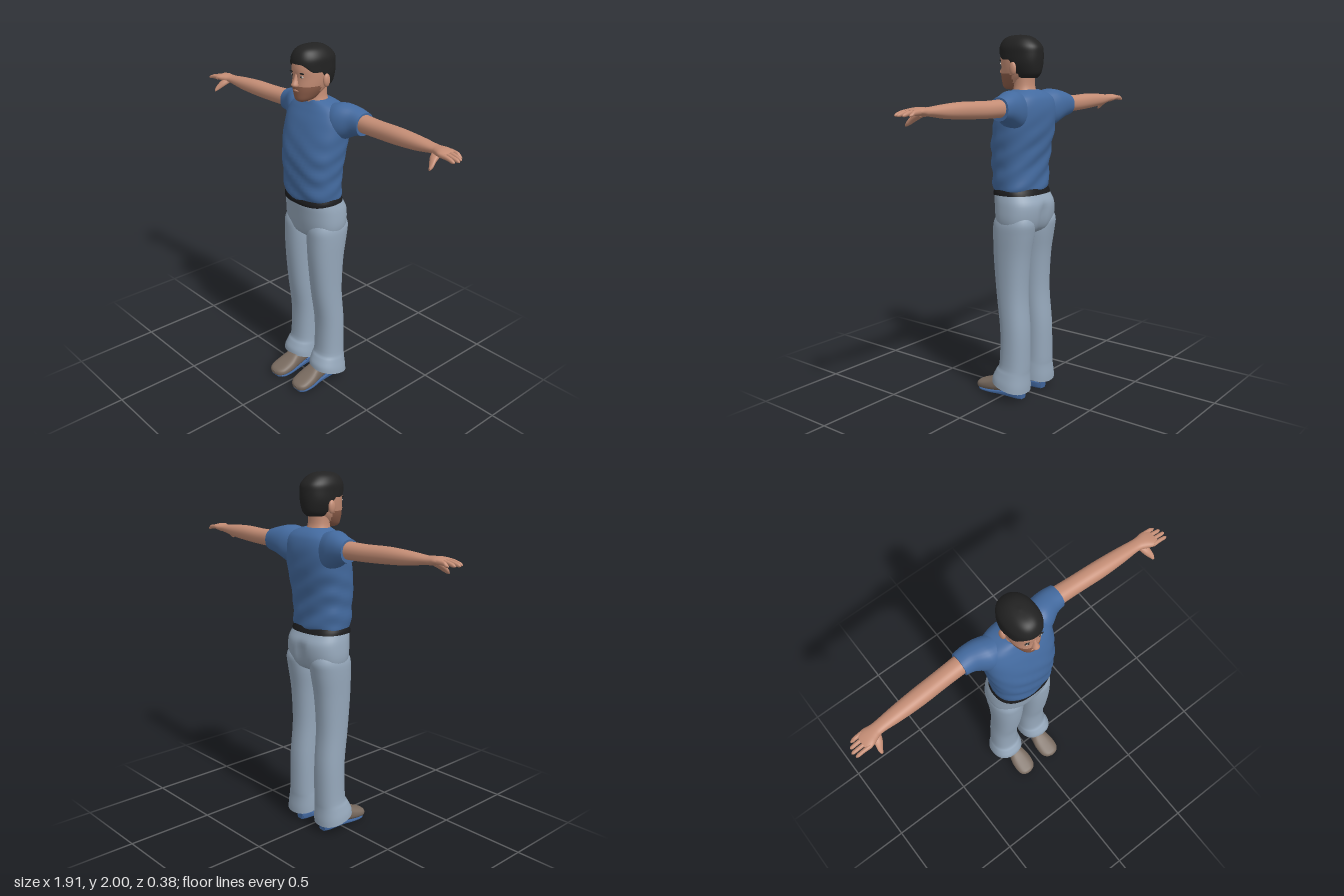
import * as THREE from 'three';

const mat = (name, color, side = THREE.FrontSide) => {
  const m = new THREE.MeshStandardMaterial({ color, side });
  m.name = name;
  return m;
};
const { smoothstep } = THREE.MathUtils;

// Loft axes: ring coordinates (u, v) and the direction t the rows run along
const AXES = { x: ['z', 'y', 'x'], y: ['x', 'z', 'y'], z: ['y', 'x', 'z'] };

// Smooth skin through rows of [t, uMin, uMax, vMin, vMax]; power squares the section,
// rule moves each point, pick chooses a material index from a face position
function loft(rows, { axis = 'y', n = 32, steps = 4, power = 2.2, caps = true, rule, pick = () => 0 } = {}) {
  const pos = [], groups = [[], []], [U, V, T] = AXES[axis];
  const at = i => rows[Math.max(0, Math.min(rows.length - 1, i))];
  const rings = (rows.length - 1) * steps + 1;
  const bend = (a, b, c, d, f) => b + 0.5 * f * (c - a + f * (2 * a - 5 * b + 4 * c - d + f * (3 * (b - c) + d - a)));
  const round = w => Math.sign(w) * Math.abs(w) ** (2 / power);
  const add = p => pos.push(p.x, p.y, p.z) / 3 - 1;
  const point = i => new THREE.Vector3(pos[i * 3], pos[i * 3 + 1], pos[i * 3 + 2]);
  for (let i = 0; i < rings; i++) {
    const k = Math.floor(i / steps), f = i / steps - k;
    const r = rows[0].map((_, c) => bend(at(k - 1)[c], at(k)[c], at(k + 1)[c], at(k + 2)[c], f));
    for (let j = 0; j < n; j++) {
      const a = j / n * Math.PI * 2, p = new THREE.Vector3();
      p[U] = (r[1] + r[2]) / 2 + (r[2] - r[1]) / 2 * round(Math.cos(a));
      p[V] = (r[3] + r[4]) / 2 + (r[4] - r[3]) / 2 * round(Math.sin(a));
      p[T] = r[0];
      if (rule) rule(p);
      add(p);
    }
  }
  for (let i = 0; i < rings - 1; i++) for (let j = 0; j < n; j++) {
    const a = i * n + j, b = i * n + (j + 1) % n, c = a + n, d = b + n;
    const mid = point(a).add(point(d)).multiplyScalar(0.5);
    groups[pick(mid)].push(a, c, b, b, c, d);
  }
  if (caps) for (const [start, top] of [[0, false], [(rings - 1) * n, true]]) {
    const mid = new THREE.Vector3(), edge = [];
    for (let j = 0; j < n; j++) {
      mid.addScaledVector(point(start + j), 1 / n);
      edge.push(add(point(start + j)));
    }
    const m = add(mid);
    edge.forEach((e, j) => {
      const q = edge[(j + 1) % n];
      groups[pick(mid)].push(m, top ? q : e, top ? e : q);
    });
  }
  const g = new THREE.BufferGeometry();
  g.setAttribute('position', new THREE.Float32BufferAttribute(pos, 3));
  g.setIndex([...groups[0], ...groups[1]]);
  g.addGroup(0, groups[0].length, 0);
  if (groups[1].length) g.addGroup(groups[0].length, groups[1].length, 1);
  g.computeVertexNormals();
  return g;
}

// Copy across x = 0 with the winding kept outward
function mirrored(geo) {
  const g = geo.clone().scale(-1, 1, 1), ix = g.index.array;
  for (let i = 0; i < ix.length; i += 3) [ix[i + 1], ix[i + 2]] = [ix[i + 2], ix[i + 1]];
  g.computeVertexNormals();
  return g;
}

const blob = (x, y, z, rx, ry, rz) => new THREE.SphereGeometry(1, 20, 14).scale(rx, ry, rz).translate(x, y, z);

export function createModel() {
  const model = new THREE.Group();
  model.name = 'standingMan';
  const skin = mat('skin', 0xc48d75), beard = mat('stubble', 0x8f5f4b), hair = mat('hair', 0x222222);
  const shirt = mat('shirt blue', 0x436a9f), pants = mat('trouser grey', 0x95a7ba, THREE.DoubleSide);
  const belt = mat('belt black', 0x1c1c1e), shoe = mat('shoe brown', 0x786a5f), sole = mat('sole blue', 0x3f649a);
  const eyeWhite = mat('eye white', 0xc9c2ba);
  const add = (name, geo, material) => {
    const m = new THREE.Mesh(geo, material);
    m.name = name;
    model.add(m);
  };
  const pair = (name, geo, material) => {
    add('left' + name, geo, material);
    add('right' + name, mirrored(geo), material);
  };

  // Shirt body with gentle folds, stronger toward the waist
  const folds = p => {
    const s = 0.004 * smoothstep(1.66 - p.y, 0, 0.3);
    p.z += s * Math.sin(p.y * 55 + p.x * 32) * Math.sign(p.z + 0.04);
    p.x += s * 0.7 * Math.sin(p.y * 62 + p.z * 20) * Math.sign(p.x);
  };
  add('shirtBody', loft([
    [1.172, -0.162, 0.162, -0.15, 0.088], [1.2, -0.172, 0.172, -0.155, 0.095],
    [1.3, -0.177, 0.177, -0.155, 0.1], [1.4, -0.188, 0.188, -0.165, 0.1],
    [1.5, -0.198, 0.198, -0.18, 0.085], [1.6, -0.2, 0.2, -0.186, 0.055],
    [1.66, -0.182, 0.182, -0.176, 0.028], [1.692, -0.14, 0.14, -0.155, 0.012],
    [1.715, -0.075, 0.075, -0.122, 0.002],
  ], { n: 48, steps: 6, power: 2.4, rule: folds }), shirt);
  pair('Sleeve', loft([
    [0.1, -0.16, 0, 1.5, 1.7], [0.16, -0.175, 0, 1.51, 1.714], [0.2, -0.18, -0.015, 1.53, 1.712],
    [0.25, -0.18, -0.045, 1.555, 1.7], [0.3, -0.176, -0.055, 1.566, 1.685],
  ], { axis: 'x' }), shirt);

  // Arms and hands
  pair('Arm', loft([
    [0.27, -0.165, -0.065, 1.583, 1.676], [0.4, -0.156, -0.062, 1.584, 1.672],
    [0.55, -0.146, -0.053, 1.59, 1.675], [0.68, -0.135, -0.053, 1.6, 1.669],
    [0.78, -0.123, -0.056, 1.616, 1.66], [0.815, -0.122, -0.045, 1.617, 1.661],
    [0.845, -0.125, -0.03, 1.622, 1.662], [0.87, -0.122, -0.025, 1.626, 1.658],
    [0.888, -0.118, -0.03, 1.631, 1.652],
  ], { axis: 'x' }), skin);
  [[-0.111, 0.927], [-0.086, 0.946], [-0.061, 0.954], [-0.036, 0.946]].forEach(([z, tip], i) =>
    pair('Finger' + (i + 1), loft([
      [0.86, z - 0.012, z + 0.012, 1.63, 1.655], [0.9, z - 0.01, z + 0.01, 1.628, 1.65],
      [tip - 0.012, z - 0.009, z + 0.009, 1.622, 1.64], [tip, z - 0.003, z + 0.003, 1.625, 1.631],
    ], { axis: 'x', n: 12 }), skin));
  pair('Thumb', loft([
    [-0.075, 1.615, 1.648, 0.785, 0.84], [-0.035, 1.592, 1.626, 0.802, 0.844],
    [-0.01, 1.574, 1.6, 0.822, 0.848], [0.005, 1.569, 1.58, 0.833, 0.843],
  ], { axis: 'z', n: 14 }), skin);

  // Trousers: hips with a seat crease, and flared legs whose hems drop at the back
  add('trouserHips', loft([
    [0.935, -0.09, 0.09, -0.12, 0.02], [0.965, -0.165, 0.165, -0.162, 0.055],
    [1.02, -0.187, 0.187, -0.184, 0.069], [1.1, -0.183, 0.183, -0.19, 0.08],
    [1.15, -0.173, 0.173, -0.168, 0.086], [1.185, -0.162, 0.162, -0.15, 0.085],
  ], {
    n: 48, power: 2.4,
    rule: p => { if (p.z < -0.08) p.z += 0.018 * Math.exp(-((p.x / 0.025) ** 2)) * smoothstep(1.14 - p.y, 0, 0.08); },
  }), pants);
  pair('TrouserLeg', loft([
    [0.075, 0.013, 0.216, -0.155, 0.055], [0.11, 0.014, 0.212, -0.155, 0.051],
    [0.16, 0.018, 0.2, -0.151, 0.032], [0.21, 0.022, 0.19, -0.152, 0.014],
    [0.4, 0.022, 0.185, -0.15, 0.012], [0.6, 0.018, 0.181, -0.135, 0.04],
    [0.8, 0.009, 0.184, -0.145, 0.06], [0.94, 0.001, 0.188, -0.168, 0.065],
    [1.01, 0.012, 0.184, -0.176, 0.06], [1.07, 0.04, 0.16, -0.15, 0.03],
  ], {
    caps: false, power: 2.3,
    rule: p => { p.y += 0.25 * (p.z + 0.05) * (1 - smoothstep(p.y, 0.075, 0.25)); },
  }), pants);
  add('belt', loft([
    [1.157, -0.174, 0.174, -0.165, 0.091], [1.172, -0.172, 0.172, -0.16, 0.093], [1.19, -0.166, 0.166, -0.153, 0.09],
  ], { n: 48, power: 2.4, rule: p => { p.y -= 0.008 * smoothstep(p.z, 0, 0.08); } }), belt);

  // Shoes, thin soles and heels
  pair('Shoe', loft([
    [-0.118, 0.035, 0.08, 0.078, 0.115], [-0.108, 0.028, 0.1, 0.064, 0.128], [-0.05, 0.025, 0.12, 0.057, 0.133],
    [0.03, 0.012, 0.115, 0.045, 0.142], [0.09, 0.008, 0.086, 0.034, 0.156],
    [0.15, 0.006, 0.062, 0.038, 0.156], [0.18, 0.009, 0.05, 0.058, 0.14], [0.192, 0.02, 0.038, 0.085, 0.115],
  ], { axis: 'z', power: 2.5 }), shoe);
  pair('Sole', loft([
    [-0.115, 0, 0.03, 0.072, 0.12], [-0.06, 0, 0.03, 0.06, 0.131], [0.02, 0, 0.022, 0.052, 0.136],
    [0.09, 0, 0.014, 0.042, 0.149], [0.15, 0, 0.012, 0.045, 0.148], [0.18, 0.002, 0.011, 0.07, 0.128],
  ], { axis: 'z', power: 5 }), sole);
  pair('Heel', loft([
    [-0.118, 0, 0.042, 0.074, 0.119], [-0.09, 0, 0.042, 0.062, 0.131], [-0.04, 0, 0.036, 0.06, 0.133],
  ], { axis: 'z', power: 5 }), sole);

  // Neck, head with a stubbled jaw, nose and ears
  add('neck', loft([
    [1.66, -0.085, 0.085, -0.135, 0.02], [1.7, -0.069, 0.069, -0.115, 0.008],
    [1.74, -0.06, 0.06, -0.103, 0], [1.81, -0.06, 0.06, -0.105, 0],
  ]), skin);
  add('head', loft([
    [1.714, -0.022, 0.022, 0.01, 0.066], [1.726, -0.043, 0.043, -0.03, 0.08],
    [1.755, -0.062, 0.062, -0.075, 0.085], [1.79, -0.076, 0.076, -0.105, 0.087],
    [1.84, -0.085, 0.085, -0.13, 0.084], [1.89, -0.086, 0.086, -0.14, 0.088],
    [1.94, -0.08, 0.08, -0.13, 0.076], [1.975, -0.055, 0.055, -0.09, 0.04],
  ], { n: 48, steps: 5, pick: p => (p.y < 1.798 - 0.1 * Math.max(0, 0.03 - p.z) && p.z > -0.02 ? 1 : 0) }), [skin, beard]);
  add('nose', loft([
    [1.795, -0.014, 0.014, 0.07, 0.096], [1.805, -0.019, 0.019, 0.07, 0.112],
    [1.832, -0.011, 0.011, 0.065, 0.099], [1.865, -0.008, 0.008, 0.06, 0.086],
  ], { n: 16 }), skin);
  pair('Ear', blob(0.091, 1.825, -0.042, 0.014, 0.035, 0.021), skin);
  add('mouth', blob(0, 1.775, 0.086, 0.022, 0.005, 0.004), skin);

  // Eyes and brows
  pair('Eye', blob(0.034, 1.85, 0.077, 0.014, 0.0055, 0.004).rotateY(0), eyeWhite);
  pair('Pupil', blob(0.033, 1.85, 0.079, 0.0055, 0.0055, 0.0035), hair);
  pair('Brow', blob(0.035, 1.868, 0.079, 0.02, 0.004, 0.0045), hair);

  // Hair cap: its lower edge runs from the nape up past the temples to the forehead
  add('hair', loft([
    [1.775, -0.06, 0.06, -0.122, 0.06], [1.8, -0.075, 0.075, -0.145, 0.075],
    [1.85, -0.09, 0.09, -0.155, 0.09], [1.9, -0.092, 0.092, -0.157, 0.096],
    [1.94, -0.089, 0.089, -0.151, 0.093], [1.975, -0.069, 0.069, -0.117, 0.073],
    [1.994, -0.04, 0.04, -0.08, 0.038], [2, -0.004, 0.004, -0.03, -0.02],
  ], {
    n: 48, steps: 5,
    rule: p => {
      const edge = 1.775 + 0.097 * smoothstep(p.z, -0.07, -0.015) + 0.042 * smoothstep(p.z, 0.03, 0.09);
      p.y = Math.max(p.y, edge);
    },
  }), hair);
  return model;
}
